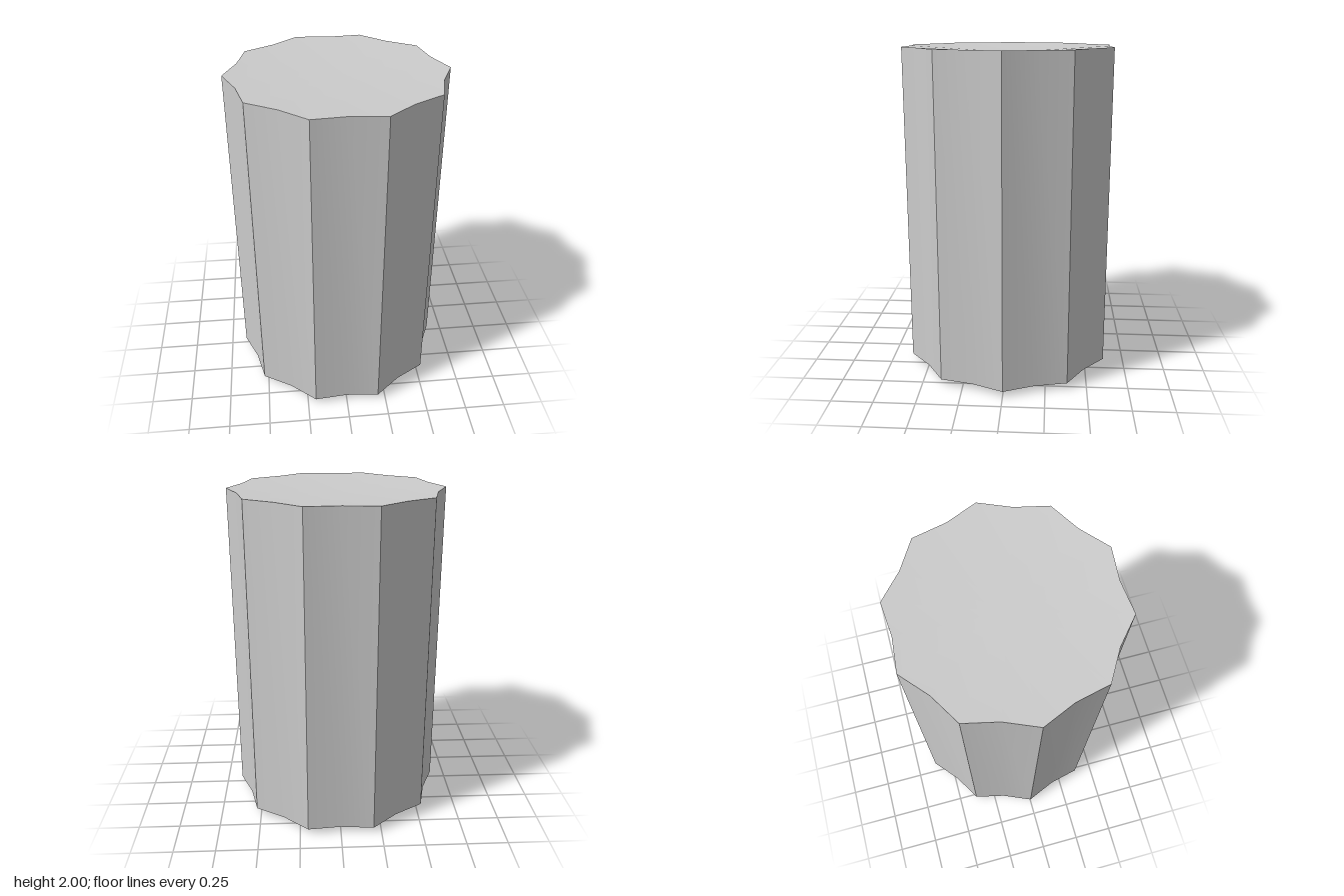
import * as THREE from 'three';
import { toCreasedNormals } from 'three/addons/utils/BufferGeometryUtils.js';

const FLUTES = 10;
const RIDGE = 0.65;   // radius at the sharp ridges
const VALLEY = 0.60;  // radius in the middle of each flute
const HEIGHT = 2;
const CONE = 0.037;   // depth of the shallow cones at both ends

export function createModel() {
  const group = new THREE.Group();
  group.name = 'flutedColumn';

  // Drum: shallow point below, straight shaft, matching dished top
  const profile = [
    new THREE.Vector2(0, 0),
    new THREE.Vector2(1, CONE),
    new THREE.Vector2(1, HEIGHT),
    new THREE.Vector2(0, HEIGHT - CONE),
  ];
  const geometry = new THREE.LatheGeometry(profile, FLUTES * 2);

  // Flutes: the radius alternates between ridge and valley
  const pos = geometry.attributes.position;
  for (let i = 0; i < pos.count; i++) {
    const x = pos.getX(i), z = pos.getZ(i);
    const wave = Math.cos(FLUTES * Math.atan2(z, x));
    const r = (RIDGE + VALLEY) / 2 + (RIDGE - VALLEY) / 2 * wave;
    pos.setX(i, x * r);
    pos.setZ(i, z * r);
  }

  // Smooth inside each flute, sharp along ridges and rims
  const shaft = new THREE.Mesh(
    toCreasedNormals(geometry, Math.PI / 6),
    new THREE.MeshStandardMaterial({ color: 0xcccccc })
  );
  shaft.name = 'flutedShaft';
  group.add(shaft);
  return group;
}
